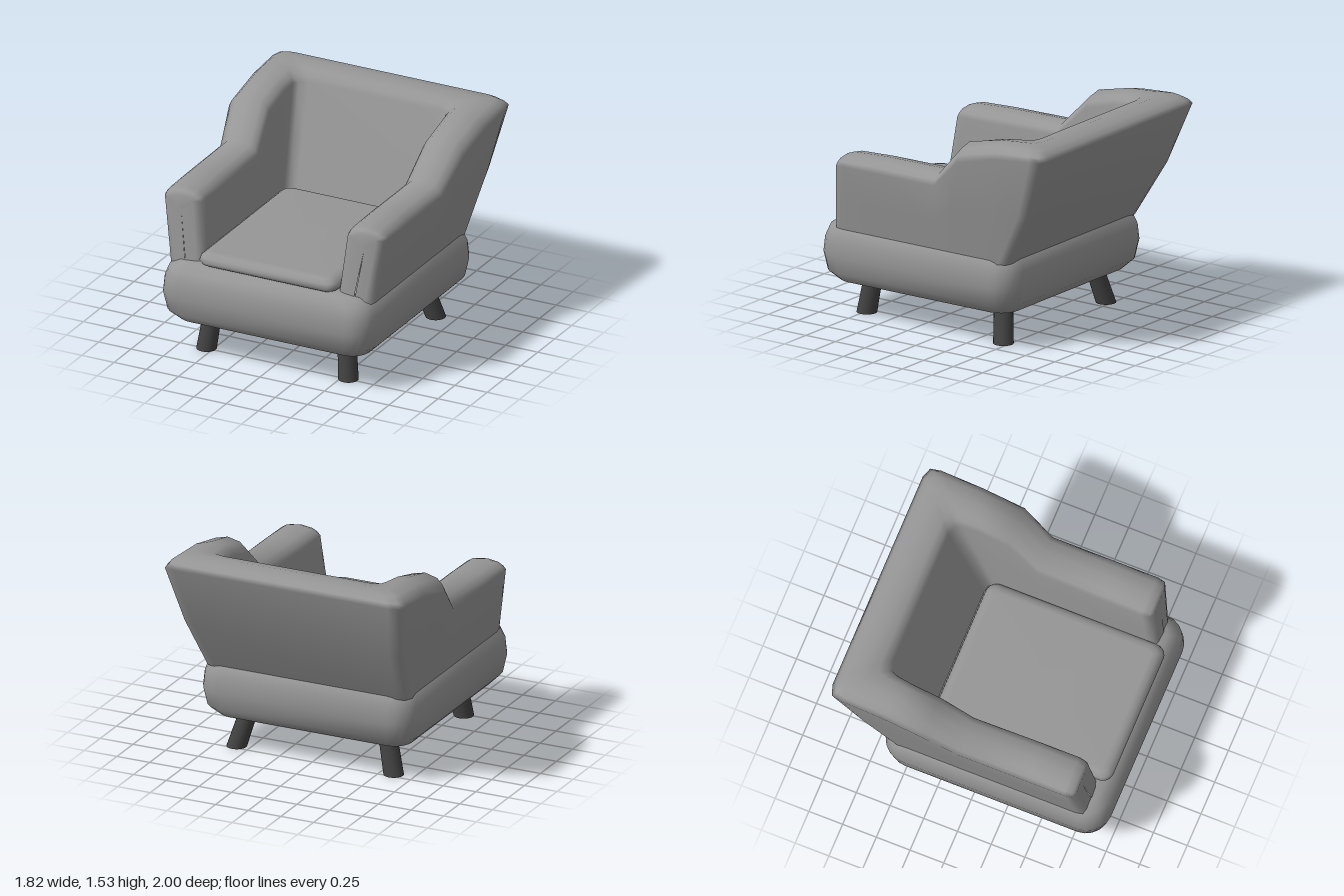
import * as THREE from 'three';

// Joins cross-sections (arrays of Vector3) into one smooth skin.
function loft(rings, closed) {
  const n = rings[0].length, index = [];
  for (let i = 0; i < rings.length - 1; i++) {
    for (let j = 0; j < (closed ? n : n - 1); j++) {
      const a = i * n + j, b = i * n + (j + 1) % n;
      index.push(a, a + n, b, b, a + n, b + n);
    }
  }
  const g = new THREE.BufferGeometry().setFromPoints(rings.flat());
  g.setIndex(index);
  g.computeVertexNormals();
  return g;
}

// Horizontal rounded rectangle centred on x = 0.
function roundedRing(y, hx, hz, cz, r) {
  const pts = [];
  for (let k = 0; k < 4; k++) {
    const mid = (k + 0.5) * Math.PI / 2;
    const cx = Math.sign(Math.cos(mid)) * (hx - r), cc = Math.sign(Math.sin(mid)) * (hz - r);
    for (let s = 0; s <= 5; s++) {
      const a = (k + s / 5) * Math.PI / 2;
      pts.push(new THREE.Vector3(cx + r * Math.cos(a), y, cz + cc + r * Math.sin(a)));
    }
  }
  return pts;
}

// Stack of rounded rectangles, levels = [y, inset], closed at both ends.
function pad(levels, hx, hz, cz, radius) {
  const rings = levels.map(([y, inset]) =>
    roundedRing(y, hx - inset, hz - inset, cz, Math.max(0.04, radius - inset * 0.5)));
  const cap = y => rings[0].map(() => new THREE.Vector3(0, y, cz));
  return loft([cap(levels[0][0]), ...rings, cap(levels.at(-1)[0])], true);
}

// Upholstery section from outer foot over the crest to inner foot.
function section([ob, ot, it, ib, crest, bulge = 0]) {
  const outerFoot = new THREE.Vector3(ob[0], 0.62, ob[1]);
  const innerFoot = new THREE.Vector3(ib[0], 0.66, ib[1]);
  const outerTop = new THREE.Vector3(...ot), innerTop = new THREE.Vector3(...it);
  const over = (t, rise) => {
    const p = outerTop.clone().lerp(innerTop, t);
    p.y += (crest - p.y) * rise;
    return p;
  };
  const outerMid = outerFoot.clone().lerp(outerTop, 0.48);
  outerMid.z -= bulge;
  return [outerFoot, outerMid, outerTop, over(0.07, 0.4), over(0.2, 0.78), over(0.5, 1),
    over(0.8, 0.78), over(0.93, 0.4), innerTop, innerTop.clone().lerp(innerFoot, 0.5), innerFoot];
}

export function createModel() {
  const fabric = new THREE.MeshStandardMaterial({ color: 0x969696 });
  fabric.name = 'grey fabric';
  const shellFabric = fabric;
  shellFabric.side = THREE.DoubleSide;
  const legPaint = new THREE.MeshStandardMaterial({ color: 0x424242 });
  legPaint.name = 'dark leg';

  const model = new THREE.Group();
  model.name = 'armchair';
  const add = (name, geometry, material) => {
    const mesh = new THREE.Mesh(geometry, material);
    mesh.name = name;
    model.add(mesh);
    return mesh;
  };

  // Plump base
  add('base', pad([[0.22, 0.2], [0.25, 0.095], [0.32, 0.025], [0.45, 0], [0.56, 0.01],
    [0.64, 0.04], [0.685, 0.1], [0.7, 0.18]], 0.825, 0.83, 0.167, 0.18), fabric);

  // Thin seat cushion
  add('seatCushion', pad([[0.69, 0.05], [0.71, 0.015], [0.735, 0], [0.765, 0.01], [0.79, 0.04],
    [0.8, 0.08]], 0.535, 0.66, 0.275, 0.08), fabric);

  // Arms, wings and back as one skin: [outer foot xz, outer top, inner top, inner foot xz, crest, bulge]
  const half = [
    [[0.65, 0.86], [0.71, 1.04, 0.81], [0.71, 1.04, 0.81], [0.65, 0.86], 1.04],
    [[0.73, 0.855], [0.80, 1.1, 0.805], [0.62, 1.1, 0.805], [0.57, 0.855], 1.14],
    [[0.77, 0.84], [0.85, 1.115, 0.785], [0.57, 1.115, 0.785], [0.53, 0.84], 1.17],
    [[0.78, 0.79], [0.86, 1.12, 0.73], [0.56, 1.12, 0.73], [0.52, 0.79], 1.19],
    [[0.78, 0.5], [0.86, 1.12, 0.45], [0.56, 1.12, 0.45], [0.52, 0.5], 1.205],
    [[0.78, 0.02], [0.86, 1.12, -0.05], [0.57, 1.13, -0.05], [0.52, 0.02], 1.21],
    [[0.78, -0.1], [0.91, 1.34, -0.28], [0.60, 1.36, -0.28], [0.52, -0.1], 1.455],
    [[0.78, -0.34], [0.91, 1.42, -0.6], [0.60, 1.42, -0.5], [0.52, -0.25], 1.515, 0.02],
    [[0.78, -0.54], [0.91, 1.45, -0.9], [0.59, 1.44, -0.61], [0.52, -0.33], 1.53, 0.04],
    [[0.755, -0.59], [0.895, 1.45, -0.975], [0.57, 1.44, -0.66], [0.5, -0.37], 1.53, 0.04],
    [[0.69, -0.61], [0.82, 1.455, -1], [0.5, 1.44, -0.68], [0.45, -0.38], 1.53, 0.04],
  ].map(section);
  const mirrored = half.map(s => s.map(p => new THREE.Vector3(-p.x, p.y, p.z))).reverse();
  add('armsAndBack', loft([...half, ...mirrored], false), shellFabric);

  // Splayed legs, sheared so the feet stay flat: [top x, top z, foot x, foot z]
  const legHeight = 0.26;
  for (const [name, tx, tz, fx, fz] of [
    ['frontLeg', 0.52, 0.705, 0.55, 0.74], ['backLeg', 0.53, -0.405, 0.6, -0.455]]) {
    for (const side of [1, -1]) {
      const g = new THREE.CylinderGeometry(0.066, 0.071, legHeight, 20);
      g.translate(0, legHeight / 2, 0);
      const kx = side * (tx - fx) / legHeight, kz = (tz - fz) / legHeight;
      g.applyMatrix4(new THREE.Matrix4().set(
        1, kx, 0, side * fx,
        0, 1, 0, 0,
        0, kz, 1, fz,
        0, 0, 0, 1));
      add((side > 0 ? 'left ' : 'right ') + name, g, legPaint);
    }
  }
  return model;
}
